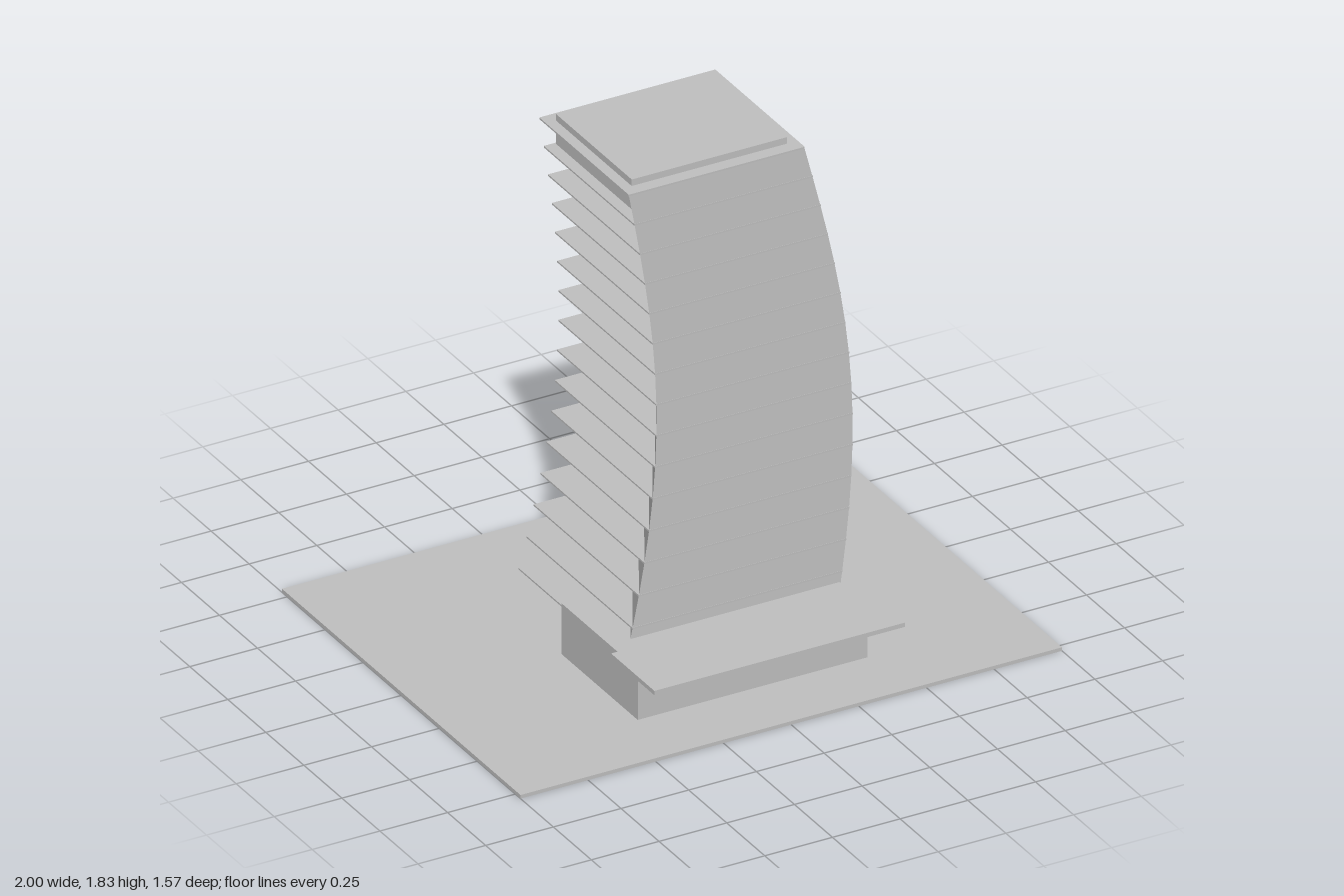
import * as THREE from 'three';

const FLOORS = 16, BASE_Y = 0.013, TOP_Y = 1.8;

// Tower outline at height fraction t: sideways bow and taper
const section = (t) => ({
  y: BASE_Y + t * (TOP_Y - BASE_Y),
  cx: 0.12 * Math.sin(Math.PI * t),
  hx: 0.396 - 0.072 * t,
  hz: 0.356 - 0.063 * t,
});

export function createModel() {
  const model = new THREE.Group();
  model.name = 'curvedTower';
  const grey = new THREE.MeshStandardMaterial({ color: 0xc0c0c0 });
  grey.name = 'concreteGrey';
  grey.flatShading = true;

  const add = (name, geometry, parent = model) => {
    const mesh = new THREE.Mesh(geometry, grey);
    mesh.name = name;
    parent.add(mesh);
    return mesh;
  };
  const box = (name, x0, x1, y0, y1, z0, z1, parent) => {
    const mesh = add(name, new THREE.BoxGeometry(x1 - x0, y1 - y0, z1 - z0), parent);
    mesh.position.set((x0 + x1) / 2, (y0 + y1) / 2, (z0 + z1) / 2);
    return mesh;
  };

  // Site, entrance block and canopy
  box('groundPlate', -1, 1, 0, BASE_Y, -0.784, 0.784);
  box('entrancePodium', -0.427, 0.422, BASE_Y, 0.2, 0.035, 0.535);
  box('entranceCanopy', -0.465, 0.46, 0.2, 0.216, 0.427, 0.712);

  // Triangular core: flat front, apex at the middle of the back, bowed floor by floor
  const core = new THREE.CylinderGeometry(1, 1, 1, 3, FLOORS, false, Math.PI);
  const p = core.attributes.position;
  for (let i = 0; i < p.count; i++) {
    const s = section(p.getY(i) + 0.5);
    const x = p.getX(i), z = p.getZ(i);
    const centre = Math.hypot(x, z) < 0.01;
    p.setXYZ(i, s.cx + (x / Math.sin(Math.PI / 3)) * s.hx, s.y, centre ? 0 : Math.sign(z) * s.hz);
  }
  core.computeVertexNormals();
  add('towerCore', core);

  // Rectangular floor slabs around the core
  const slabs = new THREE.Group();
  slabs.name = 'floorSlabs';
  model.add(slabs);
  for (let i = 1; i <= FLOORS; i++) {
    const { y, cx, hx, hz } = section(i / FLOORS);
    box('floorSlab', cx - hx - 0.001, cx + hx + 0.001, y - 0.003, y + 0.003, -hz - 0.001, hz + 0.001, slabs);
  }

  // Plant room through the roof
  box('roofBlock', -0.288, 0.285, 1.717, 1.827, -0.25, 0.248);

  return model;
}
